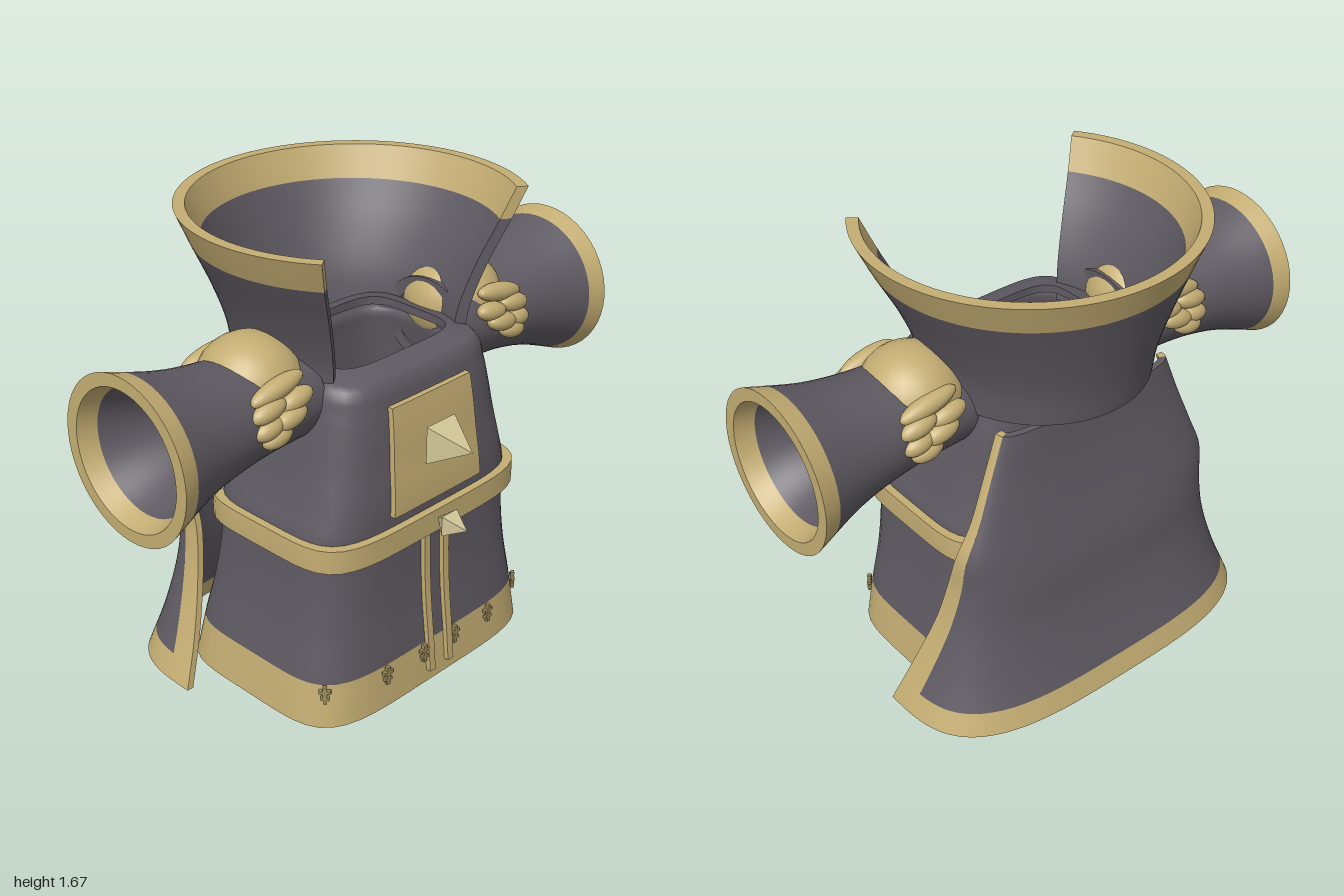
import * as THREE from 'three';
import { mergeGeometries, mergeVertices } from 'three/addons/utils/BufferGeometryUtils.js';

const mat = (name, color) => {
  const m = new THREE.MeshStandardMaterial({ color });
  m.name = name;
  return m;
};
const lerp = THREE.MathUtils.lerp;

// Smooth interpolation through rows of [key, value, value, ...]
function profile(rows) {
  const n = rows[0].length - 1;
  const it = new THREE.CubicInterpolant(rows.map(r => r[0]), rows.flatMap(r => r.slice(1)), n, new Float32Array(n));
  return t => Array.from(it.evaluate(t));
}

// One smooth sheet over a unit square
function sheet(f, na, nb) {
  const pos = [], idx = [];
  for (let i = 0; i <= na; i++) for (let j = 0; j <= nb; j++) pos.push(...f(i / na, j / nb));
  for (let i = 0; i < na; i++) for (let j = 0; j < nb; j++) {
    const a = i * (nb + 1) + j, b = a + nb + 1;
    idx.push(a, b, b + 1, a, b + 1, a + 1);
  }
  let g = new THREE.BufferGeometry();
  g.setAttribute('position', new THREE.Float32BufferAttribute(pos, 3));
  g.setIndex(idx);
  return mergeVertices(g, 1e-5);
}

// Closed shell with thickness: P(u, v, w), w = 0 inside, 1 outside
function slab(P, nu, nv) {
  const parts = [
    sheet((a, b) => P(a, b, 1), nu, nv), sheet((a, b) => P(b, a, 0), nv, nu),
    sheet((a, b) => P(1, a, b), nv, 1), sheet((a, b) => P(0, b, a), 1, nv),
    sheet((a, b) => P(b, 1, a), 1, nu), sheet((a, b) => P(a, 0, b), nu, 1)];
  const A = new THREE.Vector3(), B = new THREE.Vector3(), C = new THREE.Vector3();
  let volume = 0;
  for (const g of parts) {
    const p = g.attributes.position, ix = g.index;
    for (let k = 0; k < ix.count; k += 3) {
      A.fromBufferAttribute(p, ix.getX(k));
      B.fromBufferAttribute(p, ix.getX(k + 1));
      C.fromBufferAttribute(p, ix.getX(k + 2));
      volume += A.dot(B.cross(C));
    }
  }
  for (const g of parts) {
    if (volume < 0) g.setIndex(Array.from(g.index.array).reverse());
    g.computeVertexNormals();
  }
  return mergeGeometries(parts);
}

// Torso rows: height, half width, front z, back z
const torsoAt = profile([
  [0, .55, .445, -.35], [.16, .525, .43, -.32], [.35, .49, .41, -.28], [.55, .47, .4, -.25],
  [.68, .468, .4, -.24], [.76, .445, .4, -.24], [.9, .41, .385, -.24], [1.0, .39, .375, -.24],
  [1.1, .37, .36, -.235], [1.17, .35, .34, -.22], [1.195, .32, .31, -.2], [1.205, .27, .25, -.15]]);
const N = 5;
function torsoPoint(u, y, offset, drop = 0) {
  const [hw, zf, zb] = torsoAt(y), t = u * Math.PI * 2 - Math.PI / 2;
  const a = hw + offset, b = (zf - zb) / 2 + offset;
  const r = (Math.abs(Math.cos(t) / a) ** N + Math.abs(Math.sin(t) / b) ** N) ** (-1 / N);
  return [r * Math.cos(t), y - drop, (zf + zb) / 2 + r * Math.sin(t)];
}
function frontZ(x, y) {
  const [a, zf, zb] = torsoAt(y);
  return (zf + zb) / 2 + (zf - zb) / 2 * (1 - Math.min(1, Math.abs(x / a)) ** N) ** (1 / N);
}

export function createModel() {
  const root = new THREE.Group();
  root.name = 'robe';
  const cloth = mat('grey cloth', 0x5f5a62), gold = mat('gold trim', 0xc4ad73);
  const pale = mat('pale gold stud', 0xd0c596), dark = mat('dull gold charm', 0x9c8c5c);
  const add = (name, geo, m, parent = root) => {
    const mesh = new THREE.Mesh(geo, m);
    mesh.name = name;
    parent.add(mesh);
    return mesh;
  };

  // Torso with hem band
  const torso = (y0, y1, nv) => slab((u, v, w) => {
    const y = lerp(y0, y1, v), k = THREE.MathUtils.smoothstep(y, 1.1, 1.2);
    return torsoPoint(u, y, -(1 - w) * .035 * (1 - k), (1 - w) * .03 * k);
  }, 80, nv);
  add('torso', torso(.16, 1.205, 60), cloth);
  add('hemBand', torso(0, .16, 4), gold);

  // Belt
  add('belt', slab((u, v, w) => torsoPoint(u, lerp(.59, .675, v), w * .028), 80, 2), gold);

  // Plates that follow the front of the torso
  const frontPlate = (xAt, y0, y1, thick, nu, nv) => slab((u, v, w) => {
    const y = lerp(y0, y1, v), x = xAt(u, v);
    return [x, y, frontZ(x, y) + (w ? thick : -.01)];
  }, nu, nv);
  add('chestPanel', frontPlate((u, v) => lerp(-1, 1, u) * lerp(.213, .188, v), .72, 1.1, .02, 8, 10), gold);
  for (const s of [-1, 1])
    add('hangingStrap', frontPlate(u => s * .047 + lerp(-.014, .014, u), .045, .6, .018, 1, 14), gold);

  // Four-sided pointed studs
  const stud = (name, y, z, half, tip, back) => {
    const p = new THREE.Group();
    p.name = name;
    p.position.set(0, y, z);
    for (const [len, dir] of [[tip, 1], [back, -1]]) {
      const g = new THREE.ConeGeometry(half * Math.SQRT2, len, 4, 1, true).toNonIndexed();
      g.translate(0, len / 2, 0).rotateY(Math.PI / 4).rotateX(dir * Math.PI / 2);
      g.computeVertexNormals();
      add('studPoint', g, pale, p);
    }
    root.add(p);
  };
  stud('chestStud', .935, .42, .068, .14, .04);
  stud('beltStud', .635, .47, .037, .08, .05);

  // Small double-barred charms along the hem
  for (const s of [-1, 1]) for (const [x, turn] of [[.08, 0], [.262, .05], [.49, .85]]) {
    const c = new THREE.Group();
    c.name = 'hemCharm';
    c.position.set(s * x, .13, frontZ(x, .13) + .012);
    c.rotation.y = s * turn;
    add('charmStem', new THREE.BoxGeometry(.014, .07, .014), dark, c);
    for (const [y, w] of [[.012, .042], [-.014, .03]])
      add('charmBar', new THREE.BoxGeometry(w, .012, .014).translate(0, y, 0), dark, c);
    root.add(c);
  }

  // Flared collar, open at the front
  const collarAt = profile([[1.13, .385, .41, 0], [1.25, .4, .43, 0], [1.4, .455, .475, .005],
    [1.56, .535, .535, .015], [1.67, .585, .58, .02]]);
  const collar = (y0, y1, nv) => slab((u, v, w) => {
    const y = lerp(y0, y1, v), [rx, rz, cz] = collarAt(y), t = lerp(.95, Math.PI * 2 - .95, u);
    const o = (w - 1) * .04;
    return [(rx + o) * Math.sin(t), y, cz + (rz + o) * Math.cos(t)];
  }, 64, nv);
  add('collar', collar(1.13, 1.56, 16), cloth);
  add('collarBand', collar(1.56, 1.67, 4), gold);

  // Cape: height, half width, edge z, back z
  const capeAt = profile([[.03, .715, -.08, -.515], [.2, .64, -.12, -.46], [.4, .57, -.17, -.415],
    [.55, .54, -.2, -.4], [.68, .53, -.235, -.375], [.8, .48, -.25, -.35],
    [.95, .42, -.245, -.325], [1.11, .36, -.24, -.31]]);
  const capePoint = (u, y, w) => {
    const [W, ze, zb] = capeAt(y), t = u * Math.PI / 2, o = (w - 1) * .025;
    return [Math.sign(u) * (W + o) * Math.abs(Math.sin(t)) ** .6, y,
      ze - (ze - zb + o) * Math.max(0, Math.cos(t)) ** .6];
  };
  const edge = y => lerp(.945, .85, (y - .03) / 1.08);
  const capePart = (from, to, y0, y1, nu, nv) => slab((u, v, w) => {
    const y = lerp(y0, y1, v);
    return capePoint(lerp(from(y), to(y), u), y, w);
  }, nu, nv);
  add('cape', capePart(y => -edge(y), edge, .11, 1.11, 48, 36), cloth);
  add('capeHem', capePart(y => -edge(y), edge, .03, .11, 48, 3), gold);
  for (const s of [-1, 1])
    add('capeEdge', capePart(y => s * edge(y), () => s, .03, 1.11, 8, 40), gold);

  // Sleeves and shoulder guards; rows: x, centre y, radius y, radius z
  const sleeveAt = profile([[.34, 1.125, .165, .19], [.6, 1.117, .173, .198], [.8, 1.11, .212, .222], [1, 1.102, .282, .282]]);
  for (const s of [-1, 1]) {
    const sleeve = (x0, x1, nv) => slab((u, v, w) => {
      const x = lerp(x0, x1, v), [cy, ry, rz] = sleeveAt(x), t = u * Math.PI * 2, o = (w - 1) * .045;
      return [s * x, cy + (ry + o) * Math.cos(t), .045 + (rz + o) * Math.sin(t)];
    }, 48, nv);
    const arm = new THREE.Group();
    arm.name = s > 0 ? 'leftSleeve' : 'rightSleeve';
    add('sleeve', sleeve(.34, .935, 18), cloth, arm);
    add('cuffBand', sleeve(.935, 1, 3), gold, arm);
    const ball = (name, c, r) => {
      const m = add(name, new THREE.SphereGeometry(1, 24, 16), gold, arm);
      m.position.set(s * c[0], c[1], c[2]);
      m.scale.set(...r);
      return m;
    };
    ball('shoulderDome', [.485, 1.185, .035], [.175, .165, .18]);
    // Overlapping scales down the front and back of the shoulder
    for (const d of [-1, 1])
      for (const [x, y, z, rx] of [[.53, 1.235, .165, .11], [.47, 1.185, .185, .07], [.585, 1.185, .185, .07],
        [.51, 1.14, .2, .07], [.595, 1.13, .195, .058], [.565, 1.095, .2, .06]])
        ball('shoulderScale', [x, y, .045 + d * z], [rx, .034, .035]).rotation.z = s * -.2;
    root.add(arm);
  }
  return root;
}
